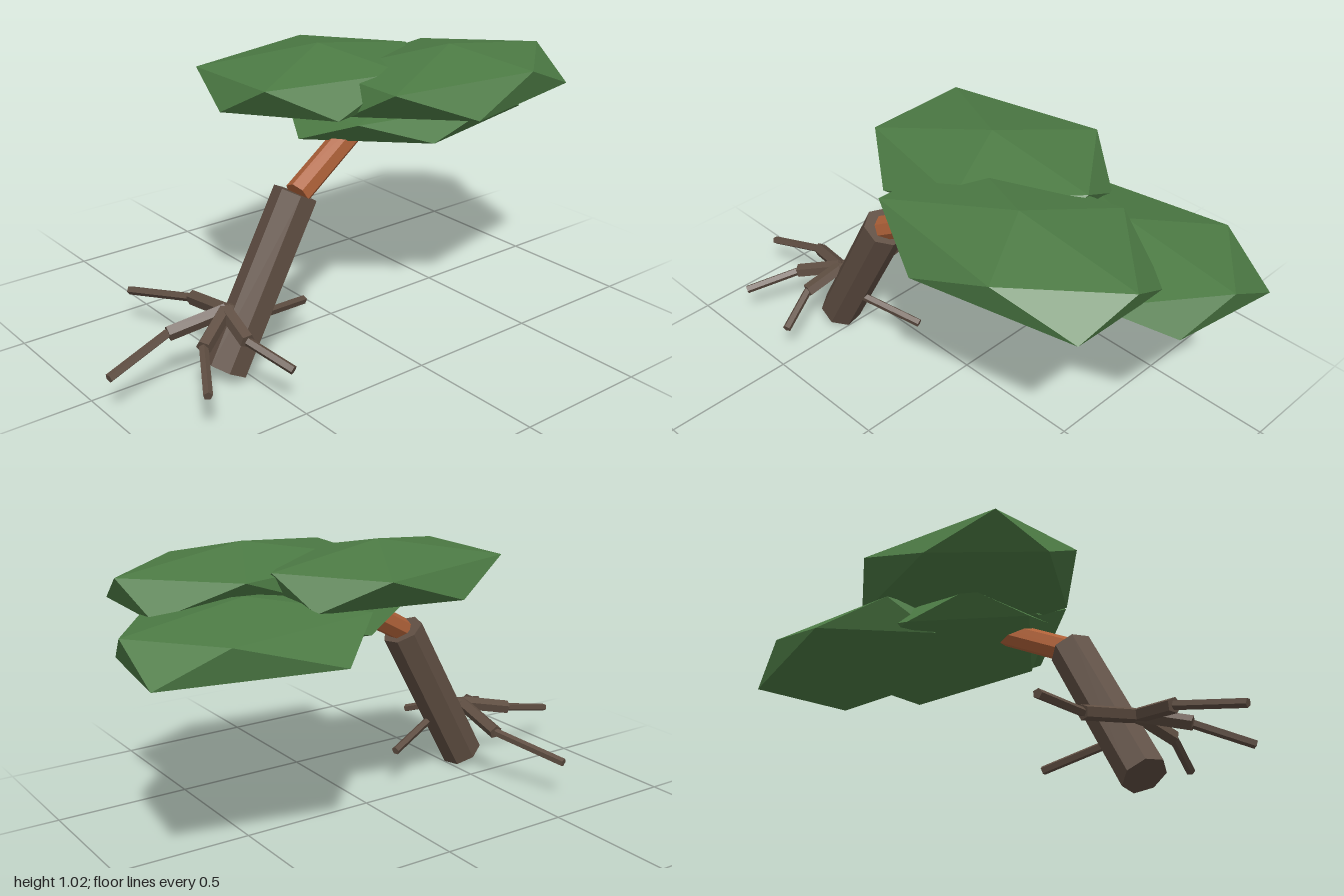
import * as THREE from 'three';
import { ConvexGeometry } from 'three/addons/geometries/ConvexGeometry.js';

const material = (name, color) => {
  const m = new THREE.MeshStandardMaterial({ color, flatShading: true });
  m.name = name;
  return m;
};

// Straight faceted limb between two points
function limb(name, from, to, radius, sides, mat, phase = 0) {
  const a = new THREE.Vector3(...from), b = new THREE.Vector3(...to);
  const dir = b.clone().sub(a);
  const geo = new THREE.CylinderGeometry(radius, radius, dir.length(), sides, 1, false, phase);
  const mesh = new THREE.Mesh(geo, mat);
  mesh.name = name;
  mesh.position.copy(a).add(b).multiplyScalar(0.5);
  mesh.quaternion.setFromUnitVectors(new THREE.Vector3(0, 1, 0), dir.normalize());
  return mesh;
}

// Flattened icosahedron: two apexes, an upper ring, and its mirrored lower ring
function foliage(name, center, height, ring, mat) {
  const y = height * 0.447;
  const pts = [new THREE.Vector3(0, height, 0), new THREE.Vector3(0, -height, 0)];
  for (const [x, z] of ring) {
    pts.push(new THREE.Vector3(x, y, z), new THREE.Vector3(-x, -y, -z));
  }
  const mesh = new THREE.Mesh(new ConvexGeometry(pts), mat);
  mesh.name = name;
  mesh.position.set(...center);
  return mesh;
}

export function createModel() {
  const bark = material('bark brown', 0x5f4e42);
  const wood = material('orange wood', 0xad6038);
  const leaf = material('leaf green', 0x4c7a44);
  const model = new THREE.Group();
  model.name = 'leaningTree';

  // Leaning trunk and upper stem
  model.add(
    limb('trunk', [-0.57, 0.04, 0.149], [-0.268, 0.597, 0.149], 0.08, 7, bark, 1.3),
    limb('upperStem', [-0.268, 0.597, 0.155], [0.12, 0.815, 0.083], 0.046, 7, wood, 0.4),
  );

  // Stilt roots: thick inner piece, thin outer piece
  const hub = [-0.56, 0.25, 0.14];
  const roots = [
    [[-0.755, 0.208, 0.092], [-1.0, 0.147, 0.135]],
    [[-0.71, 0.2, 0.235], [-0.815, 0.147, 0.418]],
    [[-0.58, 0.205, 0.295], [-0.515, 0.147, 0.455]],
    [[-0.54, 0.2, -0.095], [-0.63, 0.147, -0.38]],
    [[-0.42, 0.205, 0.165], [-0.185, 0.147, 0.073]],
  ];
  roots.forEach(([knee, tip], i) => {
    const root = new THREE.Group();
    root.name = `root${i + 1}`;
    root.add(
      limb('rootBase', hub, knee, 0.027, 5, bark),
      limb('rootTip', knee, tip, 0.016, 5, bark),
    );
    model.add(root);
  });

  // Canopy clumps
  model.add(
    foliage('leftFoliage', [0.02, 0.902, -0.1], 0.118,
      [[-0.38, -0.2], [0.18, -0.34], [0.425, -0.01], [0.13, 0.31], [-0.375, 0.2]], leaf),
    foliage('frontFoliage', [0.4, 0.888, 0.17], 0.122,
      [[-0.43, 0.2], [0.14, 0.275], [0.47, -0.01], [0.16, -0.32], [-0.42, -0.19]], leaf),
    foliage('backFoliage', [0.57, 0.78, -0.155], 0.125,
      [[0.2, -0.285], [0.43, -0.005], [0.17, 0.345], [-0.43, 0.215], [-0.37, -0.175]], leaf),
    foliage('middleFoliage', [0.32, 0.777, 0.035], 0.088,
      [[0.49, 0], [0.16, 0.3], [-0.39, 0.2], [-0.39, -0.2], [0.16, -0.325]], leaf),
  );
  return model;
}
